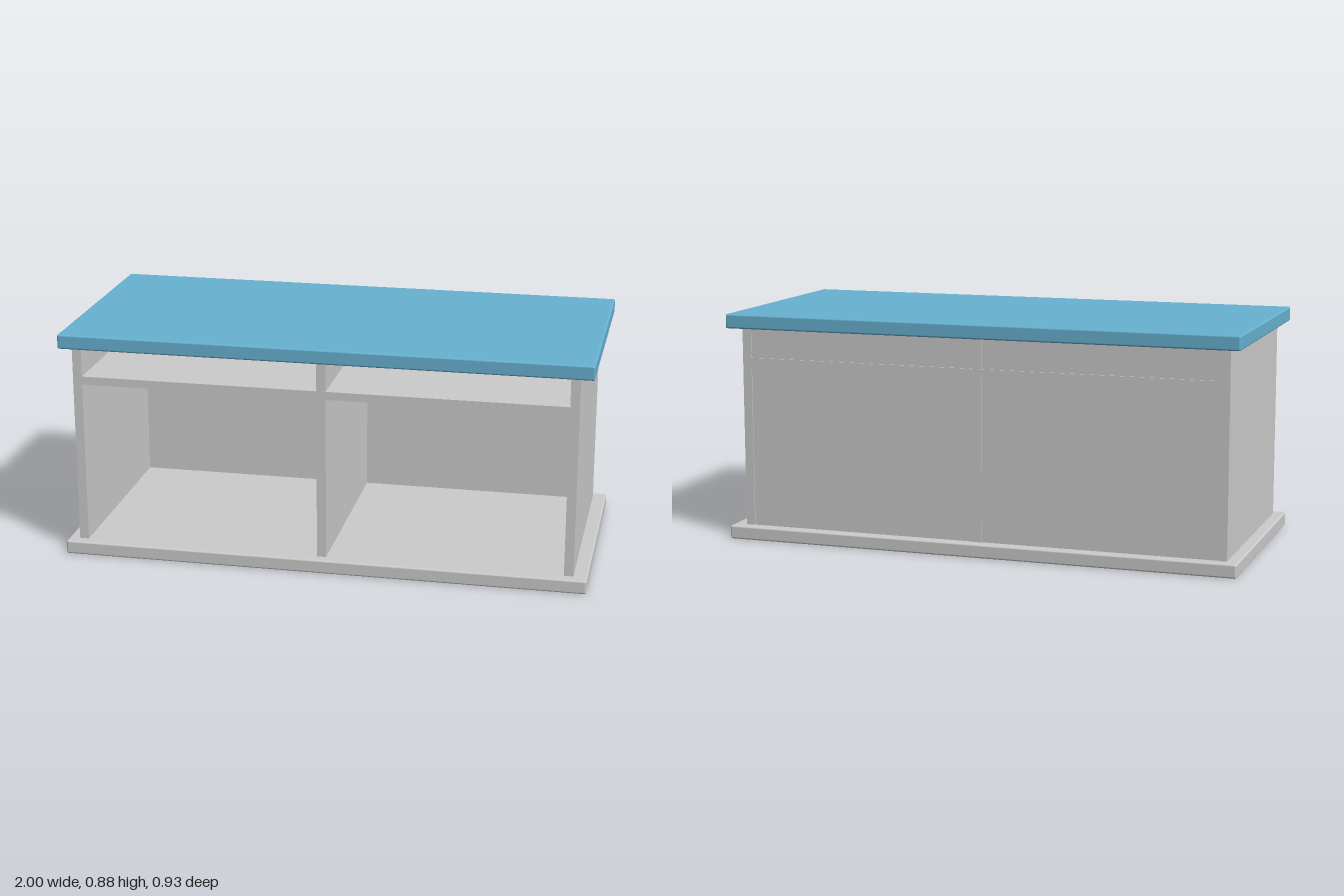
import * as THREE from 'three';
import { RoundedBoxGeometry } from 'three/addons/geometries/RoundedBoxGeometry.js';

const grey = new THREE.MeshStandardMaterial({ color: 0xcccccc });
const blue = new THREE.MeshStandardMaterial({ color: 0x67b2d2 });

// Board given by its [min, max] extents on each axis; a radius softens its edges
function board(name, [x0, x1], [y0, y1], [z0, z1], material = grey, radius = 0) {
  const size = [x1 - x0, y1 - y0, z1 - z0];
  const geometry = radius
    ? new RoundedBoxGeometry(...size, 3, radius)
    : new THREE.BoxGeometry(...size);
  const mesh = new THREE.Mesh(geometry, material);
  mesh.name = name;
  mesh.position.set((x0 + x1) / 2, (y0 + y1) / 2, (z0 + z1) / 2);
  return mesh;
}

export function createModel() {
  const cabinet = new THREE.Group();
  cabinet.name = 'cabinet';

  const slabX = [-1, 1], slabZ = [-0.463, 0.463];
  const wallY = [0.05, 0.825], wallZ = [-0.423, 0.423];

  // Overhanging slabs with softened edges
  cabinet.add(board('basePlate', slabX, [0, 0.052], slabZ, grey, 0.007));
  cabinet.add(board('topBoard', slabX, [0.823, 0.878], slabZ, blue, 0.007));

  // Upright panels
  const uprights = { rightSide: [-0.957, -0.922], divider: [-0.02, 0.015], leftSide: [0.913, 0.948] };
  for (const [name, x] of Object.entries(uprights)) cabinet.add(board(name, x, wallY, wallZ));

  // Shelf let into the sides, its ends just proud of the uprights
  cabinet.add(board('shelf', [-0.927, 0.919], [0.677, 0.708], [-0.424, 0.424]));

  // Back panel, set in very slightly
  cabinet.add(board('backPanel', [-0.94, 0.93], wallY, [-0.419, -0.395]));

  return cabinet;
}
